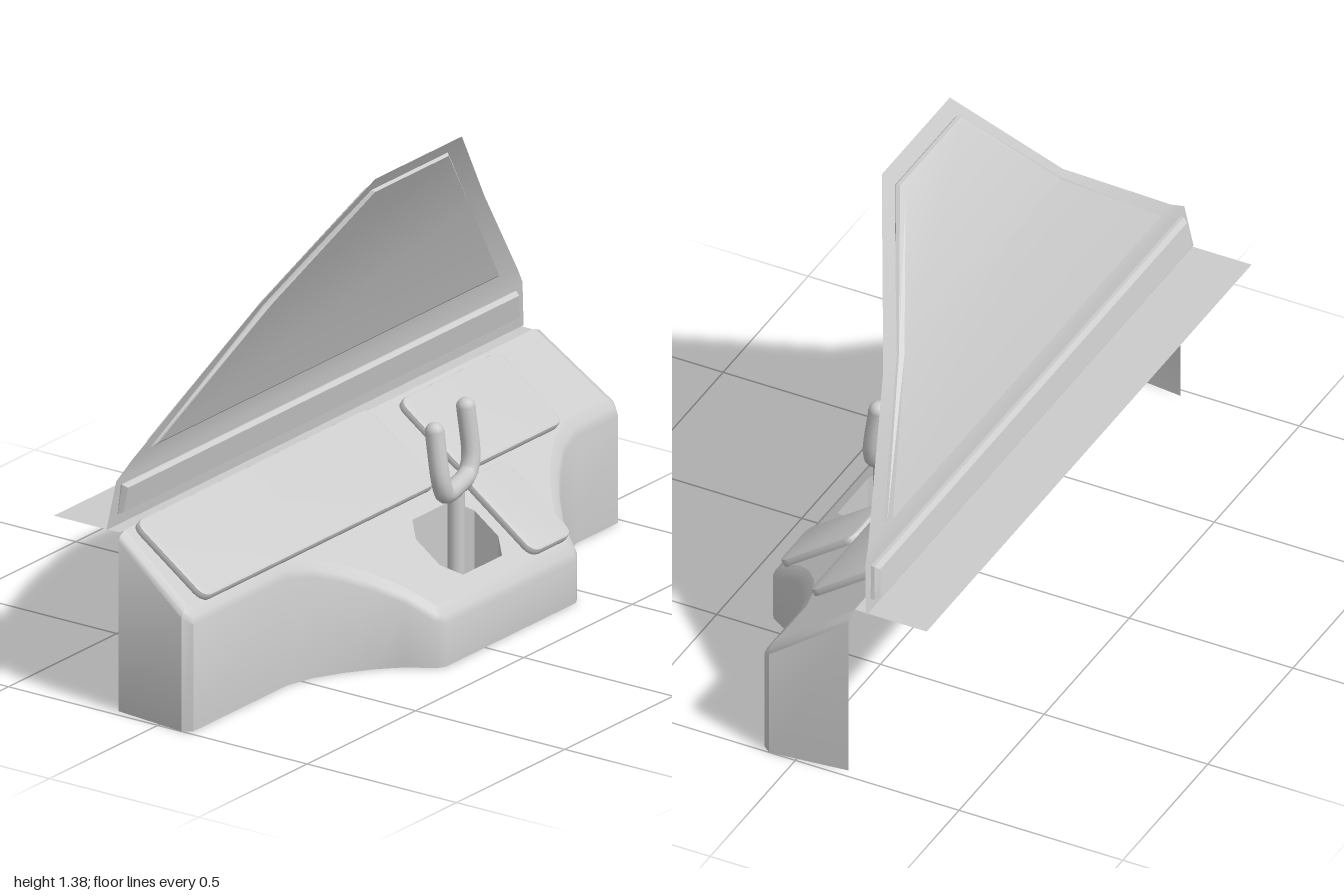
import * as THREE from 'three';
import { toCreasedNormals } from 'three/addons/utils/BufferGeometryUtils.js';

const mat = new THREE.MeshStandardMaterial({ color: 0xcccccc, side: THREE.DoubleSide });
const slope = 0.71;
const deckY = (z) => 0.41 - slope * z; // height of the sloping desk top

function add(parent, name, geo) {
  const mesh = new THREE.Mesh(geo, mat);
  mesh.name = name;
  parent.add(mesh);
  return mesh;
}

// Skin between rings of [x, y, z] points, listed bottom to top
function loft(rings) {
  const n = rings[0].length, index = [];
  for (let i = 0; i < rings.length - 1; i++) {
    for (let j = 0; j < n - 1; j++) {
      const a = i * n + j, d = a + n;
      index.push(a, a + 1, d + 1, a, d + 1, d);
    }
  }
  const geo = new THREE.BufferGeometry();
  geo.setAttribute('position', new THREE.Float32BufferAttribute(rings.flat(2), 3));
  geo.setIndex(index);
  return toCreasedNormals(geo, 0.7);
}

// Move an open plan outline inwards along its normals
function inset(line, d) {
  return line.map(([x, z], i) => {
    const p = line[Math.max(i - 1, 0)], q = line[Math.min(i + 1, line.length - 1)];
    const tx = q[0] - p[0], tz = q[1] - p[1], l = Math.hypot(tx, tz);
    const end = i === 0 || i === line.length - 1;
    return [x + d * tz / l, end ? z : z - d * tx / l];
  });
}

// Bend a unit plane or box through rows of [y, leftX, rightX, z], top to bottom
function bend(geo, rows, thickness, bevel) {
  const p = geo.attributes.position, last = rows.length - 1;
  for (let i = 0; i < p.count; i++) {
    const r = Math.round((0.5 - p.getY(i)) * last);
    const [y, x0, x1, z] = rows[r];
    const w = p.getZ(i), side = Math.sign(p.getX(i));
    const cut = Math.abs(w) > 0.4 ? bevel : 0;
    const dy = r === 0 ? -cut : r === last ? cut : 0;
    p.setXYZ(i, (side < 0 ? x0 : x1) - side * cut, y + dy, z + w * thickness);
  }
  return toCreasedNormals(geo, 0.4);
}

// Rounded plate lying on the desk: x range and range up the slope
function plate(parent, name, x0, x1, s0, s1) {
  const r = 0.03, b = 0.007;
  x0 += b; x1 -= b; s0 += b; s1 -= b;
  const s = new THREE.Shape();
  s.moveTo(x0 + r, s0);
  s.lineTo(x1 - r, s0).quadraticCurveTo(x1, s0, x1, s0 + r);
  s.lineTo(x1, s1 - r).quadraticCurveTo(x1, s1, x1 - r, s1);
  s.lineTo(x0 + r, s1).quadraticCurveTo(x0, s1, x0, s1 - r);
  s.lineTo(x0, s0 + r).quadraticCurveTo(x0, s0, x0 + r, s0);
  const geo = new THREE.ExtrudeGeometry(s, {
    depth: 0.014, bevelSize: b, bevelThickness: b, bevelSegments: 2, curveSegments: 5,
  });
  const mesh = add(parent, name, toCreasedNormals(geo, 0.6));
  mesh.position.y = 0.41;
  mesh.rotation.x = Math.atan(slope) - Math.PI / 2;
}

export function createModel() {
  const model = new THREE.Group();

  // Console plan, from back left round the front to back right
  const flank = [[-0.55, 0.105], [-0.46, 0.13], [-0.38, 0.175], [-0.31, 0.225],
    [-0.25, 0.283], [-0.205, 0.355], [-0.18, 0.37]];
  const outline = [
    [-0.975, -0.15], [-1, 0.08], [-0.98, 0.105],
    ...flank, ...flank.map(([x, z]) => [0.24 - x, z]).reverse(),
    [0.98, 0.105], [1, 0.08], [0.975, -0.15],
  ];
  const ring = (d, drop) => inset(outline, d).map(([x, z]) => [x, deckY(z) - drop, z]);
  const deckEdge = inset(outline, 0.03);
  add(model, 'consoleSkirt', loft([
    outline.map(([x, z]) => [x, 0, z]), ring(0, 0.025), ring(0.008, 0.01), ring(0.03, 0),
  ]));

  // Sloping top with a chamfered opening for the control column
  const x0 = -0.05, x1 = 0.22, z0 = 0.13, z1 = 0.3, c = 0.045;
  const well = [[x0 + c, z0], [x1 - c, z0], [x1, z0 + c], [x1, z1 - c],
    [x1 - c, z1], [x0 + c, z1], [x0, z1 - c], [x0, z0 + c]];
  const toShape = ([x, z]) => new THREE.Vector2(x, -z);
  const shape = new THREE.Shape(deckEdge.map(toShape));
  shape.holes.push(new THREE.Path(well.map(toShape)));
  const deck = new THREE.ShapeGeometry(shape);
  const dp = deck.attributes.position;
  for (let i = 0; i < dp.count; i++) {
    const z = -dp.getY(i);
    dp.setXYZ(i, dp.getX(i), deckY(z), z);
  }
  deck.computeVertexNormals();
  add(model, 'consoleTop', deck);

  const wellLoop = [...well, well[0]];
  add(model, 'columnWell', loft([
    wellLoop.map(([x, z]) => [x, 0, z]), wellLoop.map(([x, z]) => [x, deckY(z), z]),
  ]));

  // Display plates
  plate(model, 'wideDisplay', -0.915, 0.165, -0.105, 0.185);
  plate(model, 'sideDisplay', 0.28, 0.745, -0.105, 0.165);
  plate(model, 'smallDisplay', 0.26, 0.445, -0.41, -0.125);

  // Control column with a U-shaped yoke, turned slightly
  const yoke = new THREE.Group();
  yoke.name = 'controlYoke';
  model.add(yoke);
  const stem = add(yoke, 'stem', new THREE.CylinderGeometry(0.024, 0.024, 0.38, 16));
  stem.position.set(0.09, 0.215, 0.208);
  const path = [[-0.015, 0.595, 0.212], [-0.013, 0.45, 0.233], [0.008, 0.412, 0.23],
    [0.09, 0.405, 0.21], [0.165, 0.412, 0.19], [0.188, 0.45, 0.186], [0.19, 0.595, 0.168],
  ].map((p) => new THREE.Vector3(...p));
  add(yoke, 'handles', new THREE.TubeGeometry(new THREE.CatmullRomCurve3(path), 48, 0.027, 12));
  for (const tip of [path[0], path[6]]) {
    add(yoke, 'handleTip', new THREE.SphereGeometry(0.027, 12, 8)).position.copy(tip);
  }

  // Flat ledge behind the console
  const ledge = add(model, 'rearLedge', new THREE.PlaneGeometry(1.91, 0.22));
  ledge.rotation.x = -Math.PI / 2;
  ledge.position.set(-0.015, 0.516, -0.26);

  // Windscreen: thin bent frame, thick pane and lower rail
  add(model, 'windscreenFrame', bend(new THREE.PlaneGeometry(1, 1, 1, 4), [
    [1.38, -0.22, 0.18, 0.162], [1.04, -0.485, 0.57, -0.045], [0.7, -0.89, 0.89, -0.165],
    [0.655, -0.955, 0.92, -0.172], [0.516, -0.975, 0.95, -0.19],
  ], 0, 0));
  add(model, 'windscreenPane', bend(new THREE.BoxGeometry(1, 1, 1, 1, 2, 3), [
    [1.34, -0.205, 0.155, 0.125], [1.04, -0.45, 0.49, -0.045], [0.715, -0.81, 0.785, -0.163],
  ], 0.036, 0.01));
  add(model, 'lowerRail', bend(new THREE.BoxGeometry(1, 1, 1, 1, 1, 3), [
    [0.638, -0.93, 0.89, -0.177], [0.548, -0.93, 0.915, -0.192],
  ], 0.042, 0.008));

  return model;
}
